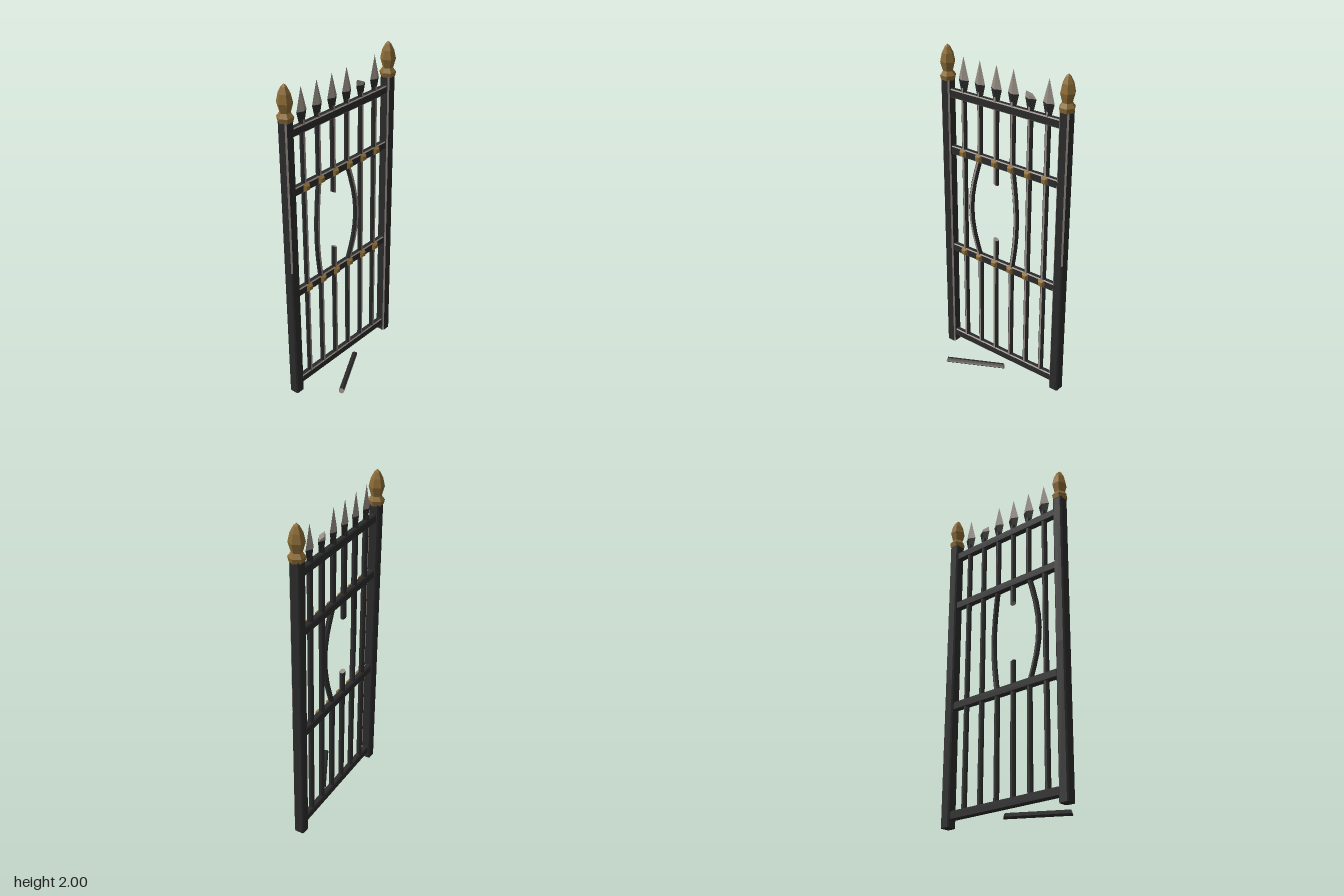
import * as THREE from 'three';

const Z = -0.105; // plane of the gate
const mat = (name, color) => {
  const m = new THREE.MeshStandardMaterial({ color, flatShading: true });
  m.name = name;
  return m;
};

// Cross-sections as [x, z]; side 0 faces the front, the rest follow towards +x
const octagon = (r) => Array.from({ length: 8 }, (_, i) => {
  const t = (i - 0.5) * Math.PI / 4, R = r / Math.cos(Math.PI / 8);
  return [Math.sin(t) * R, Math.cos(t) * R];
});
const chamfered = (a, b, c) => [
  [-a + c, b], [a - c, b], [a, b - c], [a, -b + c],
  [a - c, -b], [-a + c, -b], [-a, -b + c], [-a, b - c],
];

// Sweeps a section up a path of [x, y, z, scale]; "worn" lists the sides in the second material
function sweep(name, materials, section, path, { worn = [], slope = [0, 0], wornEnds = [false, false] } = {}) {
  const last = path.length - 1, n = section.length;
  const rings = path.map(([x, y, z, s = 1], k) => section.map(([u, v]) => {
    const tilt = k === 0 ? slope[0] : k === last ? slope[1] : 0;
    return [x + u * s, y + tilt * u, z + v * s];
  }));
  const faces = [[], []];
  for (let i = 0; i < n; i++) {
    const j = (i + 1) % n, side = faces[worn.includes(i) ? 1 : 0];
    for (let k = 0; k < last; k++) {
      const a = rings[k], b = rings[k + 1];
      side.push(a[i], a[j], b[j], a[i], b[j], b[i]);
    }
    faces[wornEnds[0] ? 1 : 0].push(path[0].slice(0, 3), rings[0][j], rings[0][i]);
    faces[wornEnds[1] ? 1 : 0].push(path[last].slice(0, 3), rings[last][i], rings[last][j]);
  }
  const g = new THREE.BufferGeometry();
  g.setAttribute('position', new THREE.Float32BufferAttribute([...faces[0], ...faces[1]].flat(), 3));
  g.addGroup(0, faces[0].length, 0);
  g.addGroup(faces[0].length, faces[1].length, 1);
  g.computeVertexNormals();
  const mesh = new THREE.Mesh(g, materials);
  mesh.name = name;
  return mesh;
}

export function createModel() {
  const gate = new THREE.Group();
  gate.name = 'ironGate';
  const iron = mat('blackIron', 0x2c2b2b);
  const steel = mat('wornSteel', 0x948b83);
  const brass = mat('agedBrass', 0x8a6a35);
  const metal = [iron, steel];
  const add = (name, geometry, material, x, y, z) => {
    const m = new THREE.Mesh(geometry, material);
    m.name = name;
    m.position.set(x, y, z);
    gate.add(m);
    return m;
  };

  // Posts with worn front edges, and faceted finials on top
  const postSection = chamfered(0.031, 0.032, 0.008);
  const finial = new THREE.LatheGeometry([
    [0, 1.795], [0.042, 1.795], [0.048, 1.822], [0.036, 1.838], [0.03, 1.846],
    [0.045, 1.9], [0.034, 1.95], [0.016, 1.985], [0, 2],
  ].map(([r, y]) => new THREE.Vector2(r, y)), 6, Math.PI / 2);
  for (const s of [-1, 1]) {
    const x = s * 0.412, inner = s > 0 ? 7 : 1;
    gate.add(sweep('postLower', metal, postSection, [[x, 0, Z], [x, 0.88, Z]], { worn: [inner] }));
    gate.add(sweep('postUpper', metal, postSection, [[x, 0.88, Z], [x, 1.8, Z]], { worn: [1, 7] }));
    add('finial', finial, brass, x, 0, Z);
  }

  // Horizontal rails
  const railSection = chamfered(0.026, 0.018, 0.006);
  for (const y of [0.065, 0.71, 1.37, 1.72]) {
    const rail = sweep('rail', metal, railSection, [[0, -0.385, 0], [0, 0.385, 0]], { worn: [1, 7] });
    rail.rotation.z = Math.PI / 2;
    rail.position.set(0, y, Z);
    gate.add(rail);
  }

  // Upright bars: straight, bowed apart, or snapped in the middle
  const barSection = octagon(0.0155);
  const bar = (name, path, options = {}) => {
    const m = sweep(name, metal, barSection, path, { worn: [0], ...options });
    gate.add(m);
    return m;
  };
  const stud = new THREE.CylinderGeometry(0.017, 0.033, 0.018, 4);
  stud.rotateY(Math.PI / 4).rotateX(Math.PI / 2);
  const collar = new THREE.CylinderGeometry(0.038, 0.022, 0.066, 4).scale(1, 1, 0.55);
  const tip = new THREE.ConeGeometry(0.038, 0.138, 4).scale(1, 1, 0.5);
  const diamond = [[0, 0.019], [0.038, 0], [0, -0.019], [-0.038, 0]];

  for (let i = 0; i < 6; i++) {
    const x = (i - 2.5) * 0.1176;
    if (i === 2) {
      bar('snappedBarLower', [[x, 0.05, Z], [x, 0.872, Z]], { slope: [0, -0.4], wornEnds: [false, true] });
      bar('snappedBarUpper', [[x, 1.238, Z], [x, 1.77, Z]], { slope: [-0.4, 0], wornEnds: [true, false] });
    } else if (i === 1 || i === 3) {
      const path = [[x, 0.05, Z]];
      for (let k = 0; k <= 8; k++) {
        const bow = Math.sin(Math.PI * k / 8);
        path.push([x + (i - 2) * 0.05 * bow, 0.71 + 0.66 * k / 8, Z + 0.024 * bow]);
      }
      path.push([x, 1.77, Z]);
      bar('bentBar', path);
    } else {
      bar('straightBar', [[x, 0.05, Z], [x, 1.77, Z]]);
    }

    // Brass studs where bars cross the middle rails
    for (const y of [0.71, 1.37]) add('stud', stud, brass, x, y, Z + 0.025);

    // Spearhead, with one broken short
    add('spearCollar', collar, iron, x, 1.782, Z);
    if (i === 4) {
      gate.add(sweep('brokenSpearTip', [steel, steel], diamond,
        [[x, 1.813, Z], [x, 1.835, Z, 0.86]], { slope: [0, -0.4] }));
    } else {
      add('spearTip', tip, steel, x, 1.882, Z);
    }
  }

  // Broken piece of bar lying on the ground in front
  const piece = bar('fallenBar', [[0, -0.183, 0], [0, 0.183, 0]], { slope: [-0.3, 0.3], wornEnds: [true, true] });
  piece.name = 'fallenBar';
  piece.rotation.set(0, 0.49, -Math.PI / 2, 'YXZ');
  piece.position.set(-0.106, 0.023, 0.044);
  return gate;
}
